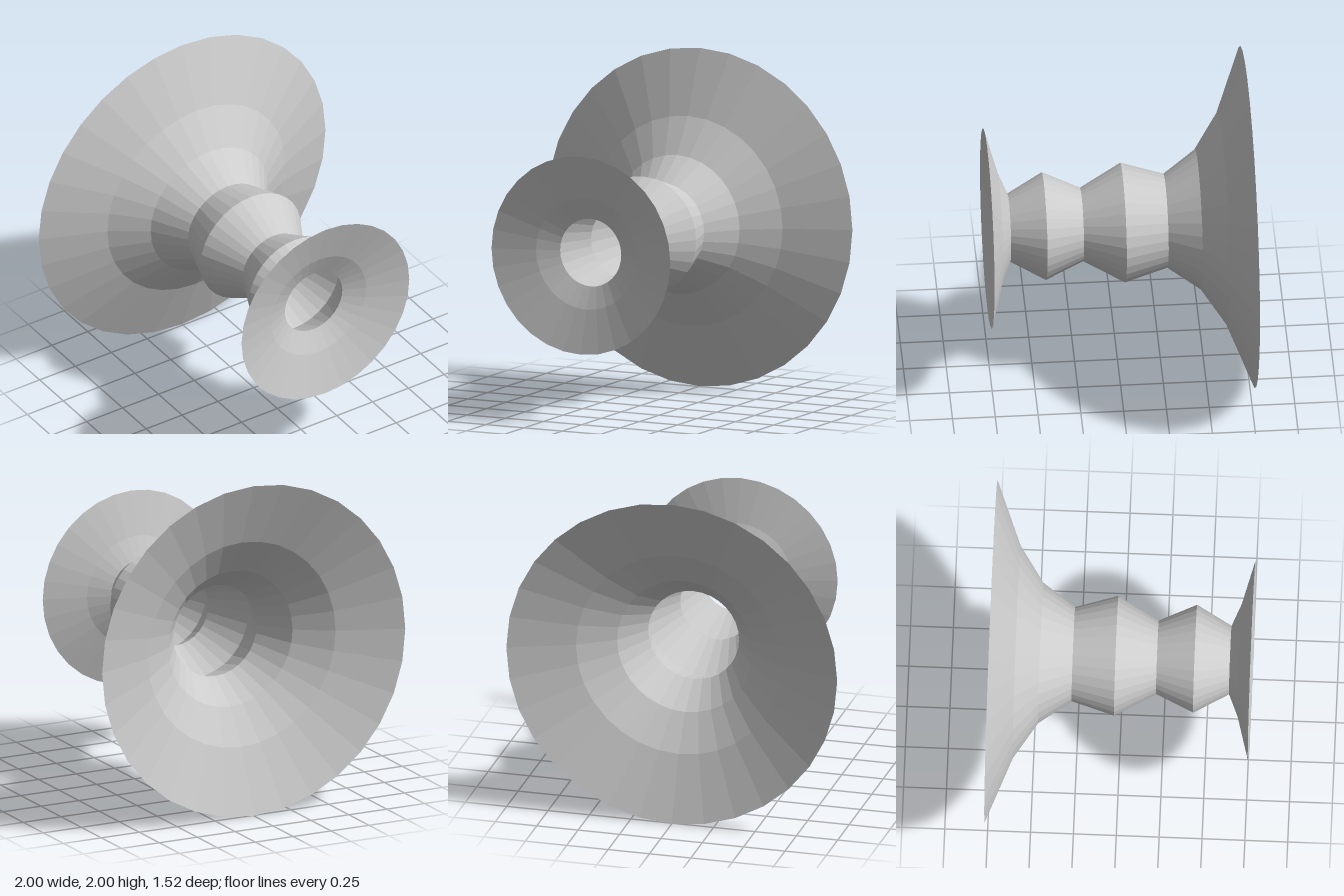
import * as THREE from 'three';

const SIDES = 32;

// Profile points as [radius, z], ordered from back to front
const REAR_FLARE = [[1.0, -0.76], [0.62, -0.61], [0.41, -0.47], [0.275, -0.28]];
const BEADED_TUBE = [[0.275, -0.28], [0.35, -0.03], [0.215, 0.21], [0.315, 0.43], [0.2, 0.635]];
const FRONT_FLARE = [[0.2, 0.635], [0.33, 0.69], [0.585, 0.76]];

export function createModel() {
  const group = new THREE.Group();
  group.name = 'flaredSpool';
  const material = new THREE.MeshStandardMaterial({
    color: 0xcccccc, flatShading: true, side: THREE.DoubleSide,
  });

  // Thin open shell turned around the z axis
  const addShell = (name, profile) => {
    const points = profile.map(([r, z]) => new THREE.Vector2(r, z));
    const geometry = new THREE.LatheGeometry(points, SIDES).rotateX(Math.PI / 2);
    const mesh = new THREE.Mesh(geometry, material);
    mesh.name = name;
    mesh.position.y = 1;
    group.add(mesh);
  };

  addShell('rearFlare', REAR_FLARE);
  addShell('beadedTube', BEADED_TUBE);
  addShell('frontFlare', FRONT_FLARE);
  return group;
}
